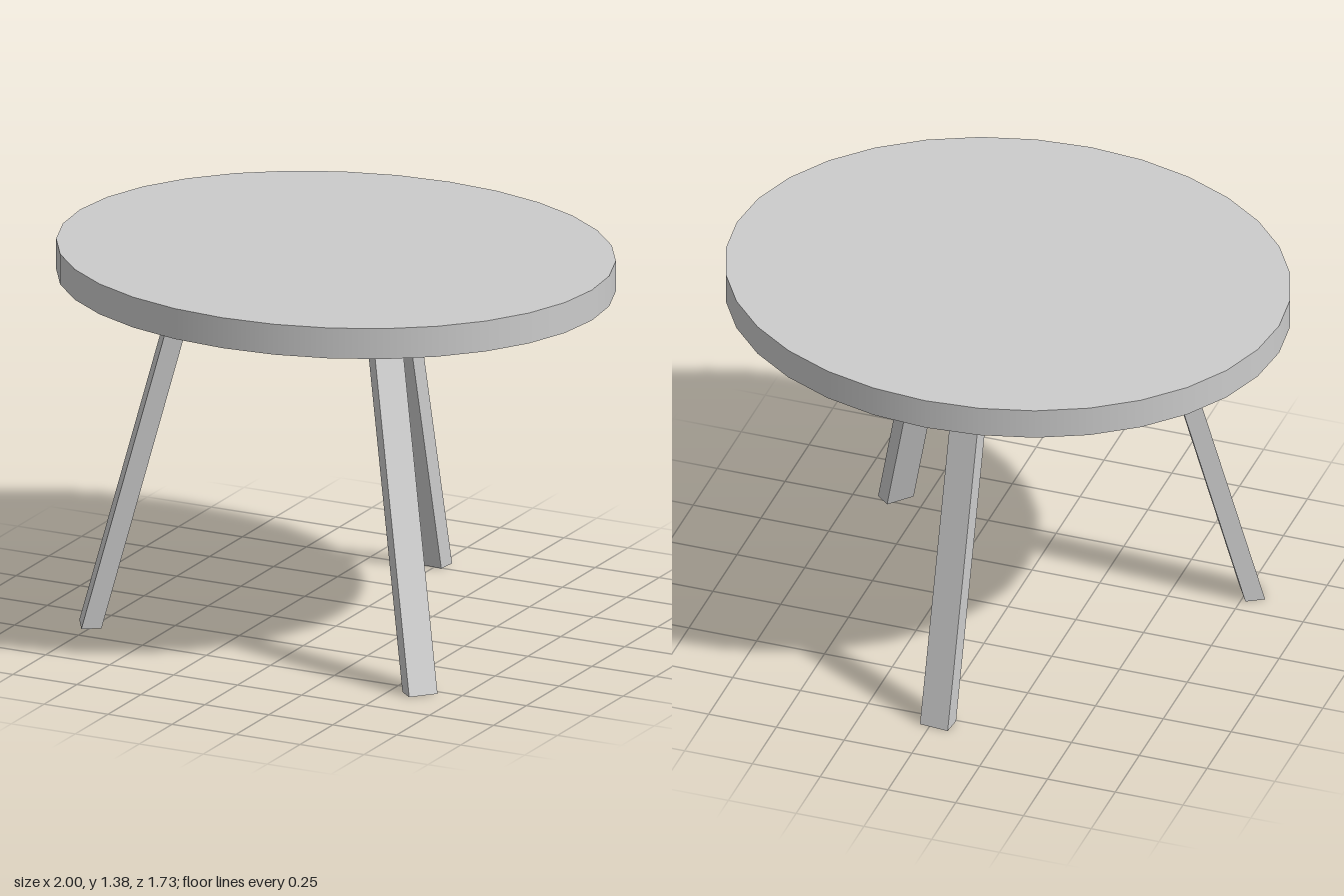
import * as THREE from 'three';

const TOP = 1.375, UNDER = 1.264;

// Rectangular leg, cut level at both ends and slanted inwards towards the top
function makeLeg(name, { foot, lean, turn, width = 0.106, depth = 0.067 }, material) {
  const geo = new THREE.BoxGeometry(width, UNDER, depth);
  geo.rotateY(turn);
  geo.translate(foot[0], UNDER / 2, foot[1]);
  const p = geo.attributes.position;
  for (let i = 0; i < p.count; i++) {
    const t = p.getY(i) / UNDER;
    p.setX(i, p.getX(i) + lean[0] * t);
    p.setZ(i, p.getZ(i) + lean[1] * t);
  }
  geo.computeVertexNormals();
  const leg = new THREE.Mesh(geo, material);
  leg.name = name;
  return leg;
}

export function createModel() {
  const model = new THREE.Group();
  model.name = 'table';
  const material = new THREE.MeshStandardMaterial({ color: 0xcccccc });

  // Oval table top
  const topGeo = new THREE.CylinderGeometry(1, 1, TOP - UNDER, 32);
  topGeo.scale(1, 1, 0.865);
  topGeo.translate(0, (TOP + UNDER) / 2, 0);
  const top = new THREE.Mesh(topGeo, material);
  top.name = 'tableTop';
  model.add(top);

  // Three splayed legs: foot centre (x, z), shift at the top (x, z), turn about y
  const legs = {
    frontLeftLeg: { foot: [0.605, 0.54], lean: [-0.279, -0.255], turn: 0.85, depth: 0.064 },
    frontRightLeg: { foot: [-0.77, 0.37], lean: [0.295, -0.175], turn: -1.03, depth: 0.07 },
    backLeg: { foot: [-0.02, -0.785], lean: [-0.026, 0.285], turn: -0.09, depth: 0.07 },
  };
  for (const [name, spec] of Object.entries(legs)) model.add(makeLeg(name, spec, material));

  return model;
}
